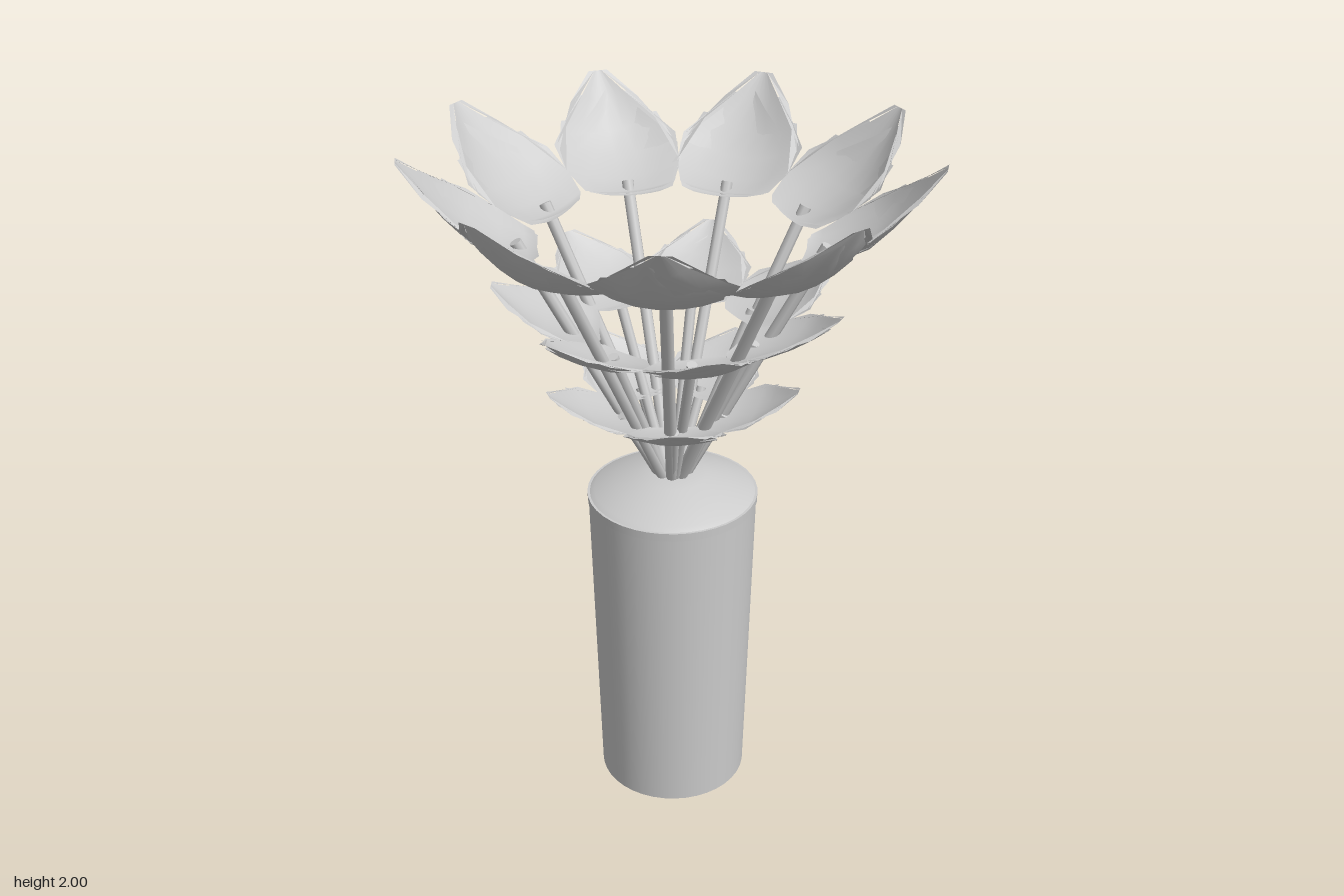
import * as THREE from 'three';

const material = new THREE.MeshStandardMaterial({ color: 0xcccccc });
const sheet = new THREE.MeshStandardMaterial({ color: 0xcccccc, side: THREE.DoubleSide });

function add(parent, name, geometry, mat = material) {
  const mesh = new THREE.Mesh(geometry, mat);
  mesh.name = name;
  parent.add(mesh);
  return mesh;
}

// Cross-sections of a unit petal: [distance out, half width, height, edge lift]
const petalRows = [
  [0, 0.25, 0.02, 0.03], [0.08, 0.38, 0.0, 0.06], [0.27, 0.48, 0.05, 0.16],
  [0.5, 0.52, 0.2, 0.22], [0.68, 0.37, 0.42, 0.18], [0.85, 0.18, 0.7, 0.1], [1, 0.03, 1, 0.0],
];

// Cupped sheet lofted through the rows, pointing along +z
function petalGeometry(length, width, rise) {
  const cols = 6, pos = [], index = [];
  petalRows.forEach(([out, half, height, lift], r) => {
    for (let c = 0; c <= cols; c++) {
      const s = (c / cols) * 2 - 1;
      pos.push(s * half * width, (height + lift * s * s) * rise, out * length);
      if (r && c) {
        const b = r * (cols + 1) + c, a = b - cols - 1;
        index.push(a - 1, b - 1, a, a, b - 1, b);
      }
    }
  });
  const g = new THREE.BufferGeometry();
  g.setAttribute('position', new THREE.Float32BufferAttribute(pos, 3));
  g.setIndex(index);
  g.computeVertexNormals();
  return g;
}

// Thin curled-back frill strip running between two points on the rim
function frillGeometry(a, b, width) {
  const mid = a.clone().lerp(b, 0.45);
  mid.x += Math.sign(a.x) * width;
  mid.y -= width * 0.4;
  const end = b.clone();
  end.x += Math.sign(a.x) * width * 0.7;
  const g = new THREE.BufferGeometry().setFromPoints([a, mid, b, mid, end, b]);
  g.computeVertexNormals();
  return g;
}

function stemGeometry(from, to, radius) {
  const dir = to.clone().sub(from);
  const g = new THREE.CylinderGeometry(radius, radius, dir.length(), 8);
  g.applyQuaternion(new THREE.Quaternion().setFromUnitVectors(
    new THREE.Vector3(0, 1, 0), dir.clone().normalize()));
  const m = from.clone().add(to).multiplyScalar(0.5);
  return g.translate(m.x, m.y, m.z);
}

// One ring of flowers, each with its stem
function tier(name, { count, start, inner, outer, width, base, rise, stemRadius }) {
  const ring = new THREE.Group();
  ring.name = name;
  const length = outer - inner;
  const petal = petalGeometry(length, width, rise);
  const underPetal = petalGeometry(length * 0.93, width * 0.9, rise * 0.88);
  const stem = stemGeometry(new THREE.Vector3(0, 0.98, 0.01),
    new THREE.Vector3(0, base + rise * 0.08, inner + length * 0.16), stemRadius);
  const frills = [-1, 1].flatMap((side) => {
    const p = (r, k = 1) => {
      const [out, half, h, lift] = petalRows[r];
      return new THREE.Vector3(side * half * width * k, (h + lift) * rise, out * length);
    };
    return [
      frillGeometry(p(2), p(4), width * 0.06),
      frillGeometry(p(4), p(6), width * 0.07),
      frillGeometry(p(3, 0.95), p(5), width * 0.05),
    ];
  });
  for (let i = 0; i < count; i++) {
    const flower = new THREE.Group();
    flower.name = 'flower';
    flower.rotation.y = start + (i * Math.PI * 2) / count;
    add(flower, 'stem', stem);
    const head = new THREE.Group();
    head.name = 'flowerHead';
    head.position.set(0, base, inner);
    add(head, 'petal', petal, sheet);
    // Slightly twisted petal beneath gives the layered edge
    const under = add(head, 'underPetal', underPetal, sheet);
    under.position.y = -0.008;
    under.rotation.y = (i % 2 ? 1 : -1) * 0.1;
    frills.forEach((g) => add(head, 'frill', g, sheet));
    flower.add(head);
    ring.add(flower);
  }
  return ring;
}

export function createModel() {
  const model = new THREE.Group();
  model.name = 'flowerVase';

  // Tapered vase body with a closed foot
  const body = add(model, 'vaseBody', new THREE.CylinderGeometry(0.243, 0.22, 0.97, 40));
  body.position.y = 0.485;

  // Narrow lip and the low dome closing the mouth
  const lip = add(model, 'vaseLip', new THREE.CylinderGeometry(0.246, 0.245, 0.025, 40));
  lip.position.y = 0.963;
  const dome = [[0.244, 0.972], [0.225, 0.985], [0.17, 1.008], [0.1, 1.032], [0.05, 1.039], [0, 1.04]];
  add(model, 'vaseDome', new THREE.LatheGeometry(dome.map(([x, y]) => new THREE.Vector2(x, y)), 40));

  // Three widening rings of flowers
  model.add(tier('lowerFlowers', {
    count: 5, start: Math.PI, inner: 0.11, outer: 0.36, width: 0.27,
    base: 1.235, rise: 0.11, stemRadius: 0.014,
  }));
  model.add(tier('middleFlowers', {
    count: 7, start: Math.PI, inner: 0.2, outer: 0.49, width: 0.29,
    base: 1.485, rise: 0.13, stemRadius: 0.015,
  }));
  model.add(tier('upperFlowers', {
    count: 9, start: 0, inner: 0.36, outer: 0.71, width: 0.35,
    base: 1.745, rise: 0.255, stemRadius: 0.017,
  }));
  return model;
}
